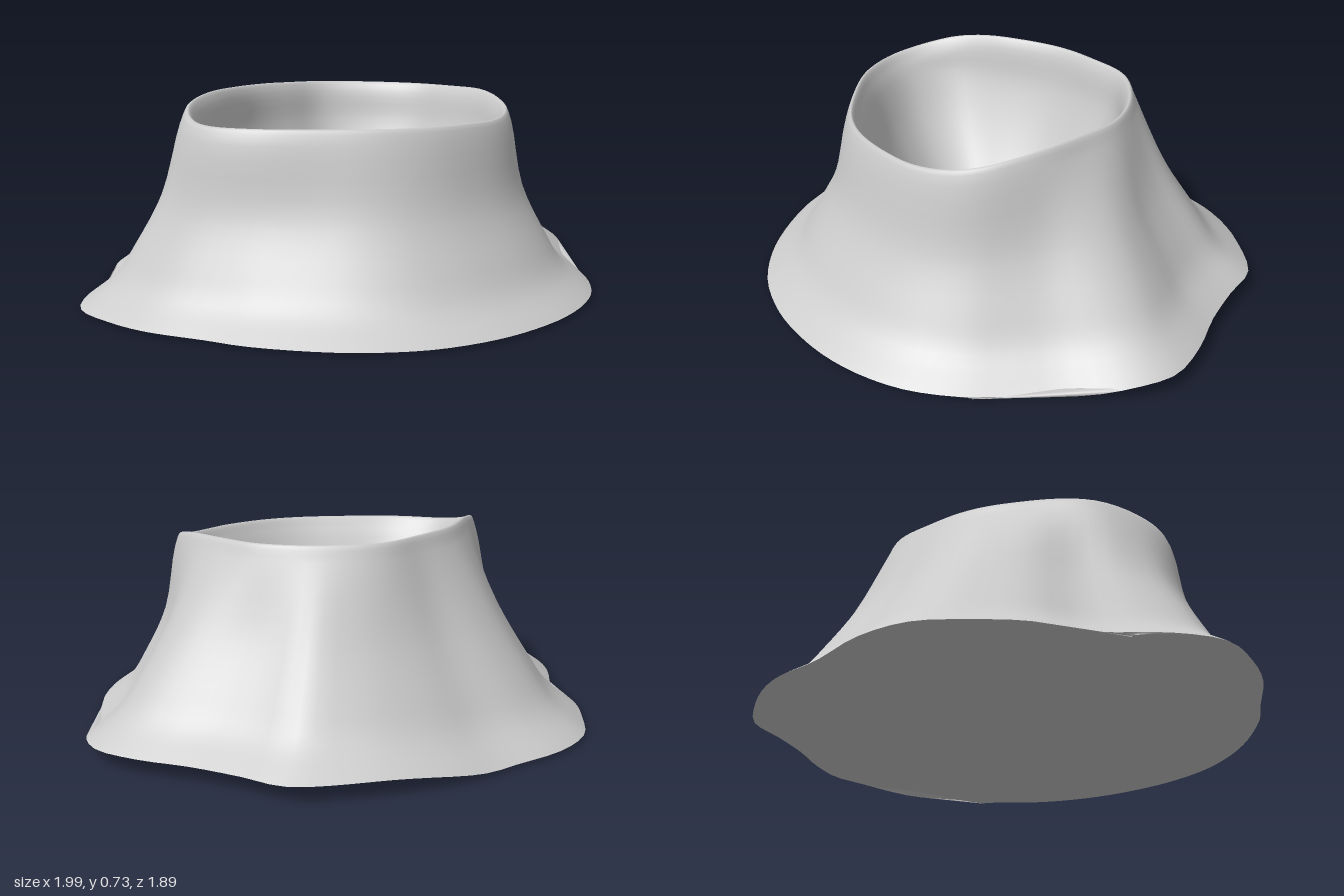
import * as THREE from 'three';

const COLUMNS = 96;

// outline of the foot, as x, z pairs
const FOOT = [
  0.99, 0.27, 0.90, 0.42, 0.75, 0.55, 0.61, 0.68, 0.50, 0.78, 0.35, 0.87, 0.18, 0.92, 0, 0.935,
  -0.19, 0.915, -0.35, 0.87, -0.51, 0.79, -0.65, 0.67, -0.76, 0.53, -0.86, 0.35, -0.91, 0.2, -0.98, 0,
  -1, -0.18, -0.98, -0.36, -0.85, -0.50, -0.65, -0.62, -0.53, -0.77, -0.38, -0.87, -0.22, -0.945, -0.03, -0.94,
  0.17, -0.87, 0.36, -0.81, 0.54, -0.71, 0.70, -0.59, 0.84, -0.44, 0.87, -0.27, 0.91, -0.09, 0.97, 0.09,
];

// outline of the crater rim, as x, z pairs
const RIM = [
  0.50, 0.13, 0.46, 0.34, 0.33, 0.52, 0.12, 0.60, -0.12, 0.585, -0.31, 0.51, -0.48, 0.36, -0.65, 0.14,
  -0.70, -0.08, -0.58, -0.27, -0.34, -0.37, -0.12, -0.43, 0.09, -0.425, 0.27, -0.385, 0.42, -0.23, 0.50, -0.05,
];

function closedCurve(pairs) {
  const points = [];
  for (let i = 0; i < pairs.length; i += 2) points.push(new THREE.Vector3(pairs[i], 0, pairs[i + 1]));
  return new THREE.CatmullRomCurve3(points, true, 'catmullrom', 0.5);
}

// skin a closed ring of columns, each column a list of points
function skin(columns, name, material) {
  const rows = columns[0].length;
  const positions = columns.flat().flatMap((p) => p.toArray());
  const index = [];
  for (let i = 0; i < columns.length; i++) {
    const next = (i + 1) % columns.length;
    for (let j = 0; j < rows - 1; j++) {
      const a = i * rows + j;
      const b = next * rows + j;
      index.push(a, a + 1, b, b, a + 1, b + 1);
    }
  }
  const geometry = new THREE.BufferGeometry();
  geometry.setAttribute('position', new THREE.Float32BufferAttribute(positions, 3));
  geometry.setIndex(index);
  geometry.computeVertexNormals();
  const mesh = new THREE.Mesh(geometry, material);
  mesh.name = name;
  return mesh;
}

export function createModel() {
  const group = new THREE.Group();
  group.name = 'crateredMound';
  const material = new THREE.MeshStandardMaterial({ color: 0xcccccc, side: THREE.DoubleSide });
  const { clamp, lerp, smoothstep } = THREE.MathUtils;

  const footCurve = closedCurve(FOOT);
  const rimCurve = closedCurve(RIM);
  const floorCentre = new THREE.Vector3(0, 0.09, 0.05);
  const shell = [];
  const base = [];

  for (let i = 0; i < COLUMNS; i++) {
    const foot = footCurve.getPoint(i / COLUMNS);
    const rim = rimCurve.getPoint(i / COLUMNS);
    // the foot lifts a little on one side, the rim dips towards one front corner
    foot.y = 0.01 + 0.05 * smoothstep(0.95 * foot.x - 0.35 * foot.z, 0.5, 0.85);
    rim.y = 0.715 - 0.08 * smoothstep(0.8 * rim.z - 0.6 * rim.x, -0.1, 0.45) - 0.02 * Math.max(0, rim.x);

    // narrow sides are steep near the rim, wide sides slope more evenly
    const gap = Math.hypot(foot.x - rim.x, foot.z - rim.z);
    const wide = smoothstep(gap, 0.25, 0.55);
    const wall = (height, narrowOut, wideOut) => {
      const p = rim.clone().lerp(foot, lerp(narrowOut, wideOut, wide));
      p.y = lerp(foot.y, rim.y, height);
      return p;
    };
    // inside of the crater, scaled in towards the floor
    const inside = (scale, y) => {
      const p = floorCentre.clone().lerp(rim, scale);
      p.y = y;
      return p;
    };

    const profile = new THREE.CatmullRomCurve3([
      foot,
      wall(0.13, 0.65, 0.76),
      wall(0.30, 0.42, 0.58),
      wall(0.57, 0.14, 0.33),
      wall(0.93, 0.01, 0.03),
      inside(0.965, rim.y + 0.01),
      inside(0.92, rim.y - 0.03),
      inside(0.88, 0.56),
      inside(0.76, 0.40),
      inside(0.6, 0.25),
      inside(0.42, 0.12),
      inside(0.28, 0.06),
      inside(0.15, 0.07),
      floorCentre,
    ], false, 'centripetal');
    const spans = profile.points.length - 1;
    shell.push(profile.getPoints(spans * 4));

    // underside: two slopes meeting in a low diagonal fold
    const along = clamp((foot.x + foot.z) / 2, -0.656, 0.642);
    const fold = new THREE.Vector3(along - 0.1, 0, along + 0.1);
    base.push([fold, fold.clone().lerp(foot, 0.5), foot]);
  }

  group.add(skin(shell, 'slopeAndCrater', material));
  group.add(skin(base, 'underside', material));
  return group;
}
